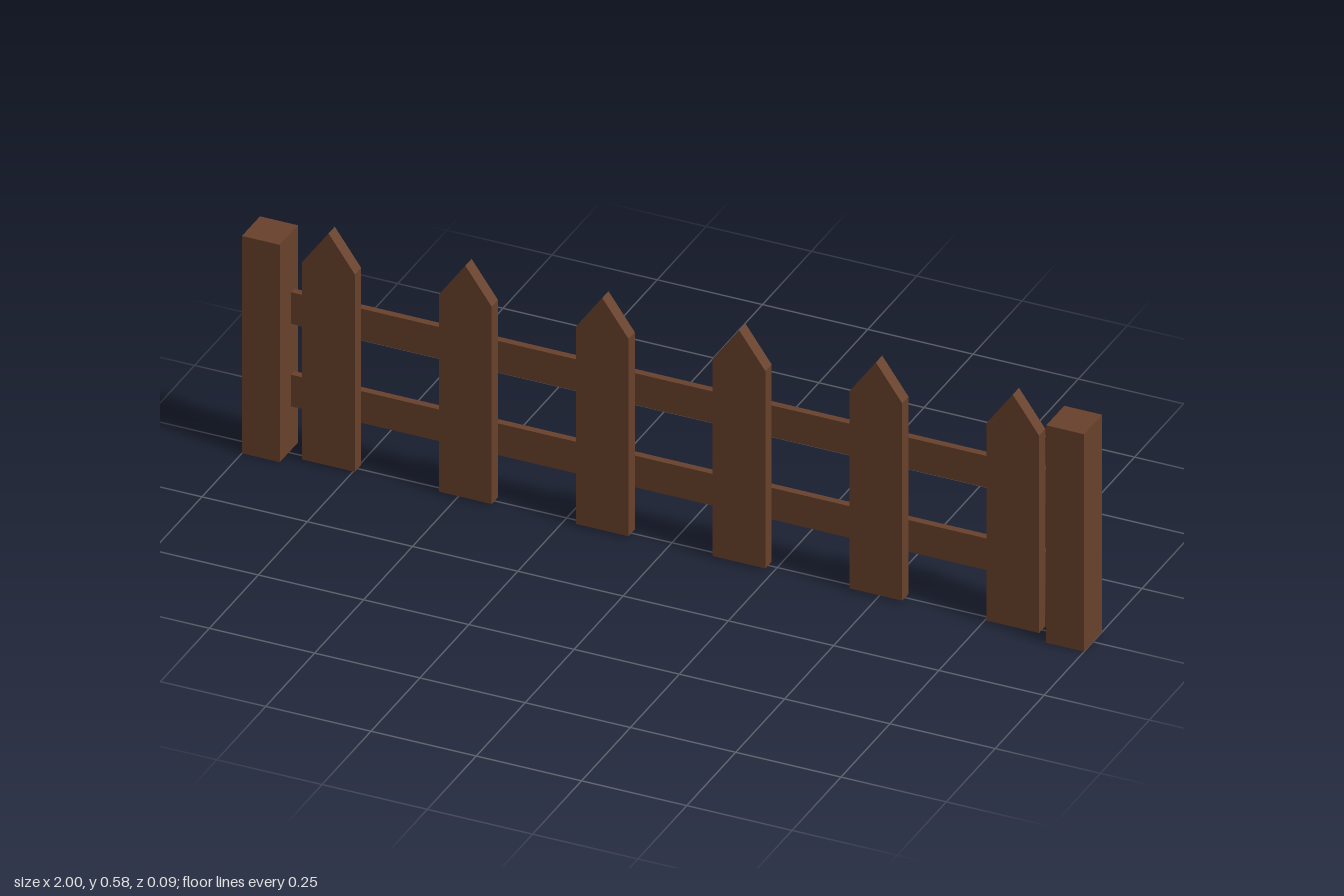
import * as THREE from 'three';

// Removes the downward-facing triangles so the part is hollow underneath
function openBottom(geometry) {
  const src = geometry.index ? geometry.toNonIndexed() : geometry;
  const pos = src.attributes.position;
  const nor = src.attributes.normal;
  const p = [];
  for (let i = 0; i < pos.count; i += 3) {
    if (nor.getY(i) < -0.9) continue;
    for (let k = i; k < i + 3; k++) p.push(pos.getX(k), pos.getY(k), pos.getZ(k));
  }
  const out = new THREE.BufferGeometry();
  out.setAttribute('position', new THREE.Float32BufferAttribute(p, 3));
  out.computeVertexNormals();
  return out;
}

export function createModel() {
  const fence = new THREE.Group();
  fence.name = 'picketFence';

  const wood = new THREE.MeshStandardMaterial({ color: 0x68412c, side: THREE.DoubleSide });
  wood.name = 'brownWood';

  function add(name, geometry, x, y, z) {
    const mesh = new THREE.Mesh(geometry, wood);
    mesh.name = name;
    mesh.position.set(x, y, z);
    fence.add(mesh);
  }

  // Square end posts
  const postHeight = 0.543;
  const postGeometry = openBottom(new THREE.BoxGeometry(0.09, postHeight, 0.092));
  add('rightPost', postGeometry, -0.955, postHeight / 2, 0);
  add('leftPost', postGeometry, 0.955, postHeight / 2, 0);

  // Two horizontal rails behind the pickets
  const railGeometry = new THREE.BoxGeometry(1.83, 0.079, 0.017);
  add('lowerRail', railGeometry, 0, 0.149, -0.0195);
  add('upperRail', railGeometry, 0, 0.355, -0.0195);

  // Pointed pickets
  const half = 0.0625;
  const outline = new THREE.Shape([
    new THREE.Vector2(-half, 0.004),
    new THREE.Vector2(half, 0.004),
    new THREE.Vector2(half, 0.497),
    new THREE.Vector2(0, 0.584),
    new THREE.Vector2(-half, 0.497),
  ]);
  const picketGeometry = openBottom(
    new THREE.ExtrudeGeometry(outline, { depth: 0.032, bevelEnabled: false })
  );
  for (let i = 0; i < 6; i++) {
    add(`picket${i + 1}`, picketGeometry, -0.806 + i * 0.325, 0, -0.011);
  }

  return fence;
}
